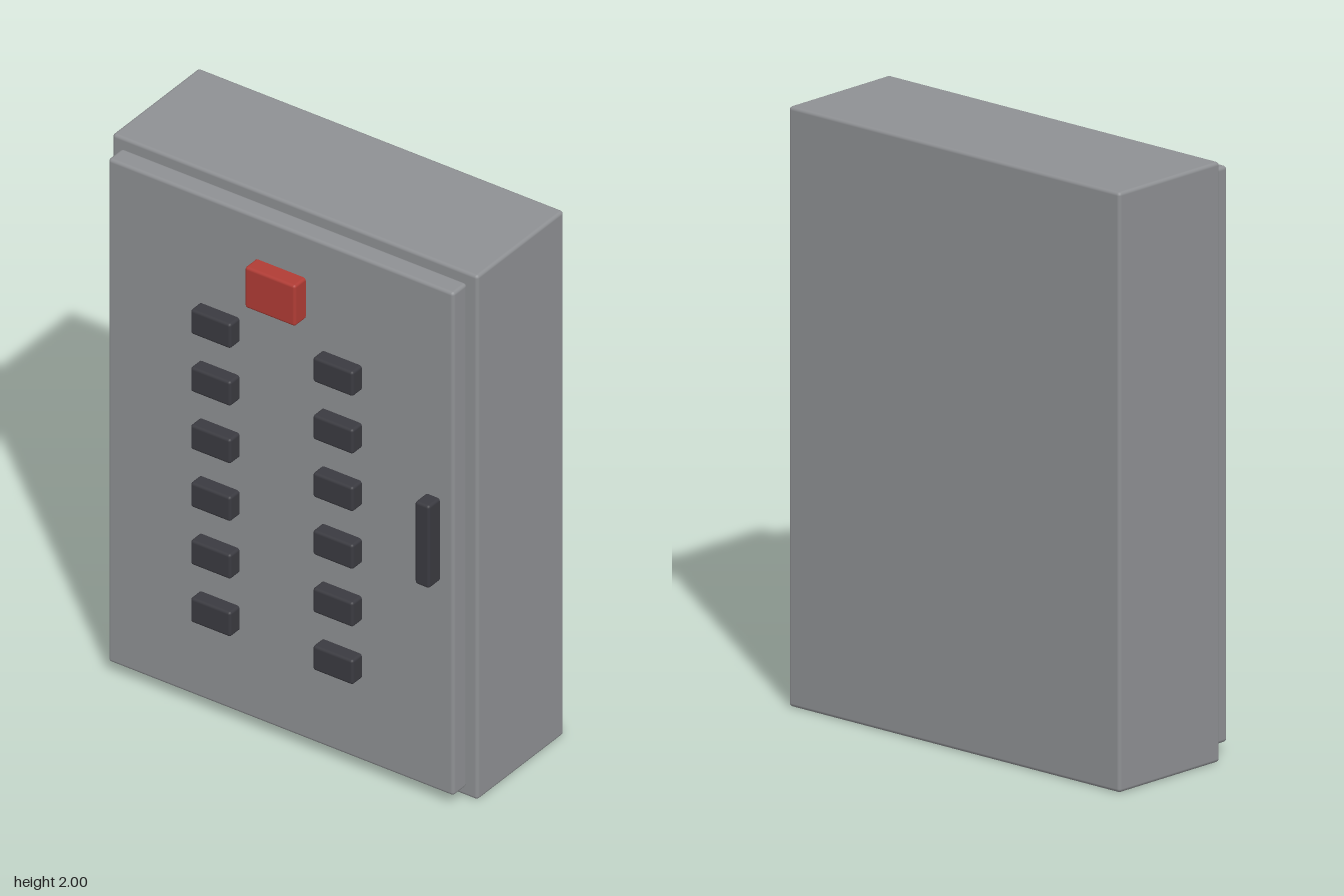
import * as THREE from 'three';
import { RoundedBoxGeometry } from 'three/addons/geometries/RoundedBoxGeometry.js';

function material(name, color) {
  const m = new THREE.MeshStandardMaterial({ color });
  m.name = name;
  return m;
}

export function createModel() {
  const group = new THREE.Group();
  group.name = 'electricalCabinet';
  const grey = material('cabinet grey', 0x8e9093);
  const dark = material('switch charcoal', 0x3a3a40);
  const red = material('main switch red', 0xb03c35);

  // Box with softened edges, given by its extents on each axis
  function block(name, mat, [x0, x1], [y0, y1], [z0, z1], radius) {
    const geometry = new RoundedBoxGeometry(x1 - x0, y1 - y0, z1 - z0, 2, radius);
    const mesh = new THREE.Mesh(geometry, mat);
    mesh.position.set((x0 + x1) / 2, (y0 + y1) / 2, (z0 + z1) / 2);
    mesh.name = name;
    group.add(mesh);
  }

  // Housing and the door standing just proud of it
  block('housing', grey, [-0.717, 0.717], [0, 2], [-0.308, 0.168], 0.012);
  block('door', grey, [-0.678, 0.678], [0.042, 1.962], [0.168, 0.246], 0.012);

  // Main switch and door handle
  block('mainSwitch', red, [-0.099, 0.099], [1.645, 1.801], [0.226, 0.306], 0.01);
  block('handle', dark, [0.568, 0.625], [0.845, 1.16], [0.226, 0.306], 0.01);

  // Two columns of six breaker switches
  for (const x of [-0.24, 0.24]) {
    for (let i = 0; i < 6; i++) {
      const y = 1.503 - i * 0.22;
      block('breakerSwitch', dark, [x - 0.079, x + 0.079], [y - 0.047, y + 0.047], [0.226, 0.297], 0.01);
    }
  }
  return group;
}
